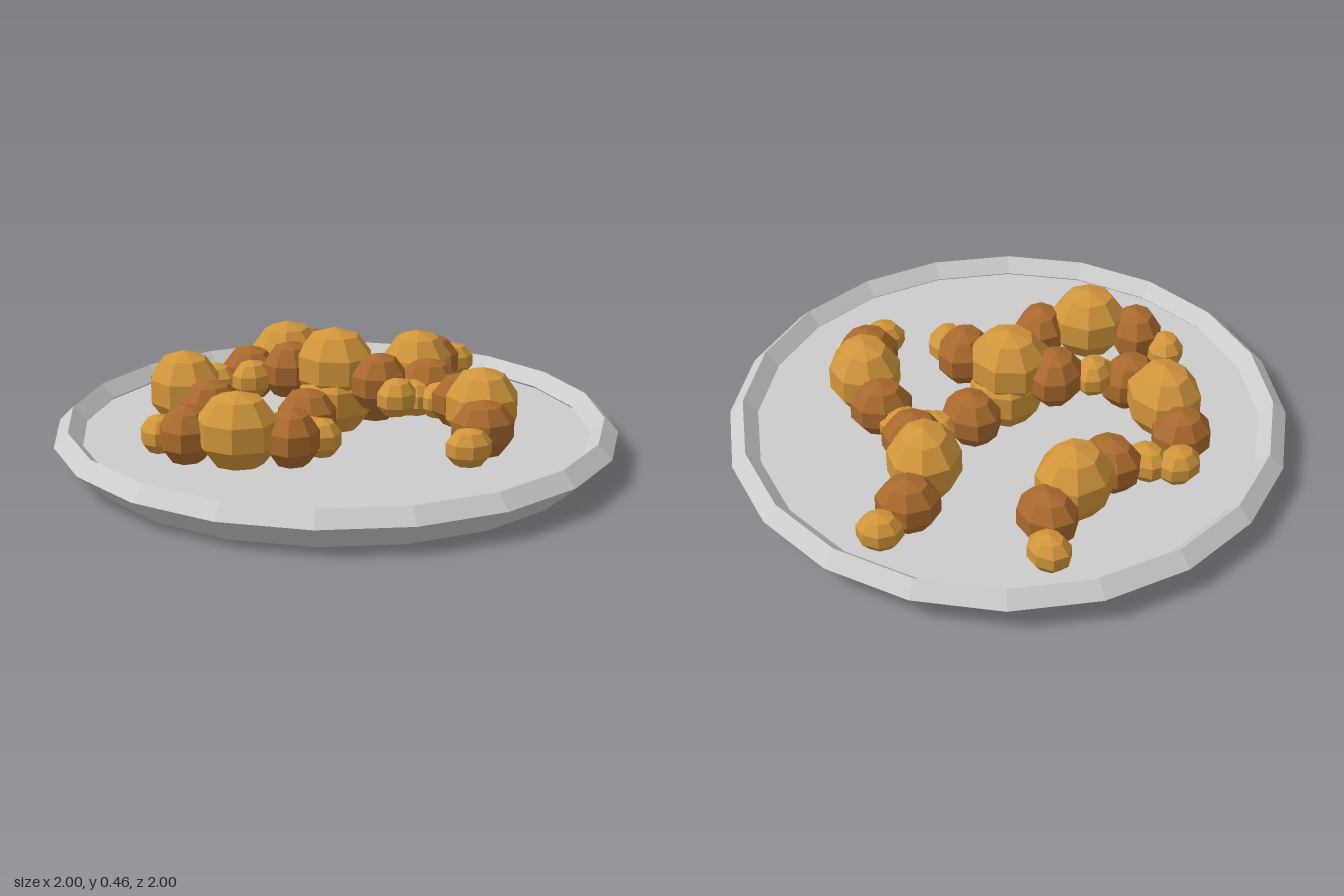
import * as THREE from 'three';

const grey = new THREE.MeshStandardMaterial({ color: 0xcccccc, flatShading: true });
const golden = new THREE.MeshStandardMaterial({ color: 0xd0963c, flatShading: true });
const brown = new THREE.MeshStandardMaterial({ color: 0xa86a2e, flatShading: true });

// Faceted ball shared by every lump
const ball = new THREE.SphereGeometry(1, 8, 5);

// Lump sizes: radius along the chain, upwards, and across; y is the centre height
const KINDS = {
  end: { name: 'smallLump', size: [0.07, 0.07, 0.083], y: 0.155, material: golden },
  side: { name: 'mediumLump', size: [0.098, 0.105, 0.115], y: 0.18, material: brown },
  core: { name: 'largeLump', size: [0.147, 0.14, 0.134], y: 0.21, material: golden },
};
const ORDER = ['end', 'side', 'core', 'side', 'end'];

// Each piece is a bent chain of five lumps, given as [x, z]
const PIECES = [
  { name: 'rightPiece', lift: 0, at: [[0.8, -0.07], [0.665, -0.08], [0.49, -0.01], [0.39, 0.12], [0.285, 0.1]] },
  { name: 'frontPiece', lift: 0, at: [[-0.03, 0.6], [0.1, 0.565], [0.235, 0.465], [0.32, 0.32], [0.335, 0.215]] },
  { name: 'leftPiece', lift: 0, at: [[-0.585, -0.295], [-0.585, -0.165], [-0.51, 0], [-0.385, 0.13], [-0.262, 0.157]] },
  { name: 'backLeftPiece', lift: 0, at: [[-0.055, -0.68], [-0.165, -0.62], [-0.275, -0.48], [-0.325, -0.305], [-0.305, -0.175]] },
  { name: 'backRightPiece', lift: 0, at: [[-0.005, -0.585], [0.1, -0.505], [0.275, -0.475], [0.445, -0.485], [0.555, -0.57]] },
  { name: 'middlePiece', lift: 0, at: [[-0.27, 0.115], [-0.18, 0.02], [0, 0], [0.18, 0.025], [0.3, 0.12]] },
  { name: 'topPiece', lift: 0.112, at: [[-0.177, -0.243], [-0.065, -0.16], [0, -0.005], [0.018, 0.178], [-0.025, 0.29]] },
];

function makePiece({ name, lift, at }) {
  const piece = new THREE.Group();
  piece.name = name;
  // All lumps line up with the overall run of the chain
  const yaw = Math.atan2(-(at[3][1] - at[1][1]), at[3][0] - at[1][0]);
  at.forEach(([x, z], i) => {
    const kind = KINDS[ORDER[i]];
    const lump = new THREE.Mesh(ball, kind.material);
    lump.name = kind.name;
    lump.scale.set(...kind.size);
    lump.position.set(x, kind.y + lift, z);
    lump.rotation.y = yaw;
    piece.add(lump);
  });
  return piece;
}

function makePlate() {
  const plate = new THREE.Group();
  plate.name = 'plate';
  // Flared dish with a flat floor
  const dish = new THREE.Mesh(new THREE.CylinderGeometry(0.98, 0.895, 0.09, 20), grey);
  dish.name = 'dish';
  dish.position.y = 0.045;
  // Diamond-section rim
  const rim = new THREE.Mesh(new THREE.TorusGeometry(0.95, 0.05, 4, 20), grey);
  rim.name = 'rim';
  rim.rotation.x = Math.PI / 2;
  rim.position.y = 0.098;
  plate.add(dish, rim);
  return plate;
}

export function createModel() {
  const model = new THREE.Group();
  model.name = 'plateOfFood';
  model.add(makePlate(), ...PIECES.map(makePiece));
  return model;
}
